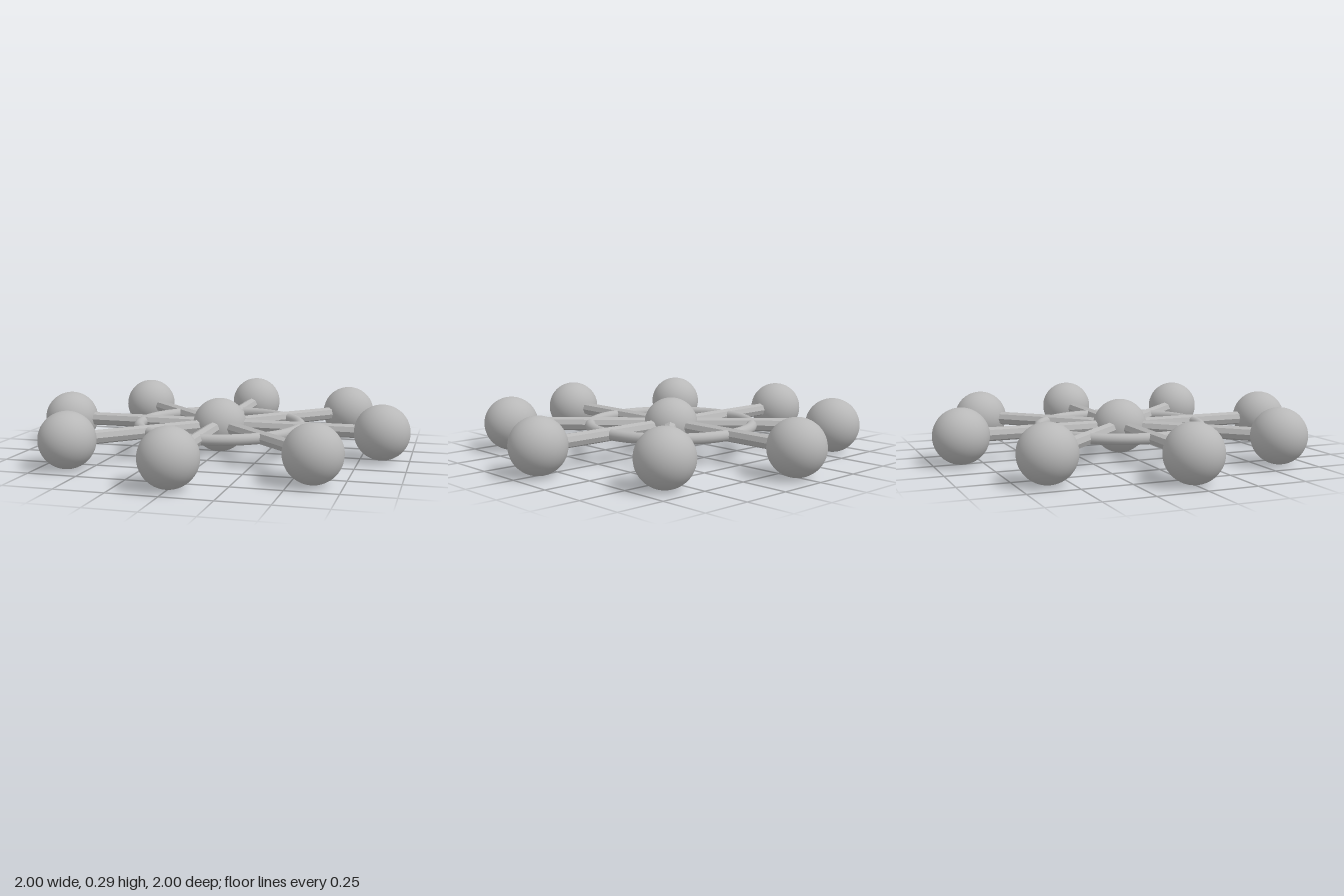
import * as THREE from 'three';

const BALL = 1 / 7;        // ball radius
const REACH = 6 / 7;       // hub to outer ball centre
const RING = 3 / 7;        // ring radius, halfway along the spokes

export function createModel() {
  const model = new THREE.Group();
  model.name = 'spokedWheel';

  const grey = new THREE.MeshStandardMaterial({ color: 0xb8b8b8 });
  grey.name = 'grey';

  // Creased copy of the same finish for the faceted rods: split normals in the geometry
  const ballGeometry = new THREE.SphereGeometry(BALL, 32, 32);
  const rodGeometry = new THREE.CylinderGeometry(0.0357, 0.0357, REACH, 8)
    .rotateZ(Math.PI / 2)
    .translate(REACH / 2, 0, 0)
    .toNonIndexed();
  rodGeometry.computeVertexNormals();

  const add = (geometry, name, parent = model) => {
    const mesh = new THREE.Mesh(geometry, grey);
    mesh.name = name;
    parent.add(mesh);
    return mesh;
  };

  // Central hub
  add(ballGeometry, 'hub').position.y = BALL;

  // Ring joining the spokes
  const ring = add(new THREE.TorusGeometry(RING, 0.0286, 16, 64), 'ring');
  ring.rotation.x = Math.PI / 2;
  ring.position.y = BALL;

  // Eight spokes, each a faceted rod with a ball at its end
  for (let i = 0; i < 8; i++) {
    const spoke = new THREE.Group();
    spoke.name = `spoke${i + 1}`;
    spoke.position.y = BALL;
    spoke.rotation.y = (i * Math.PI) / 4;
    add(rodGeometry, 'rod', spoke);
    add(ballGeometry, 'endBall', spoke).position.x = REACH;
    model.add(spoke);
  }

  return model;
}
